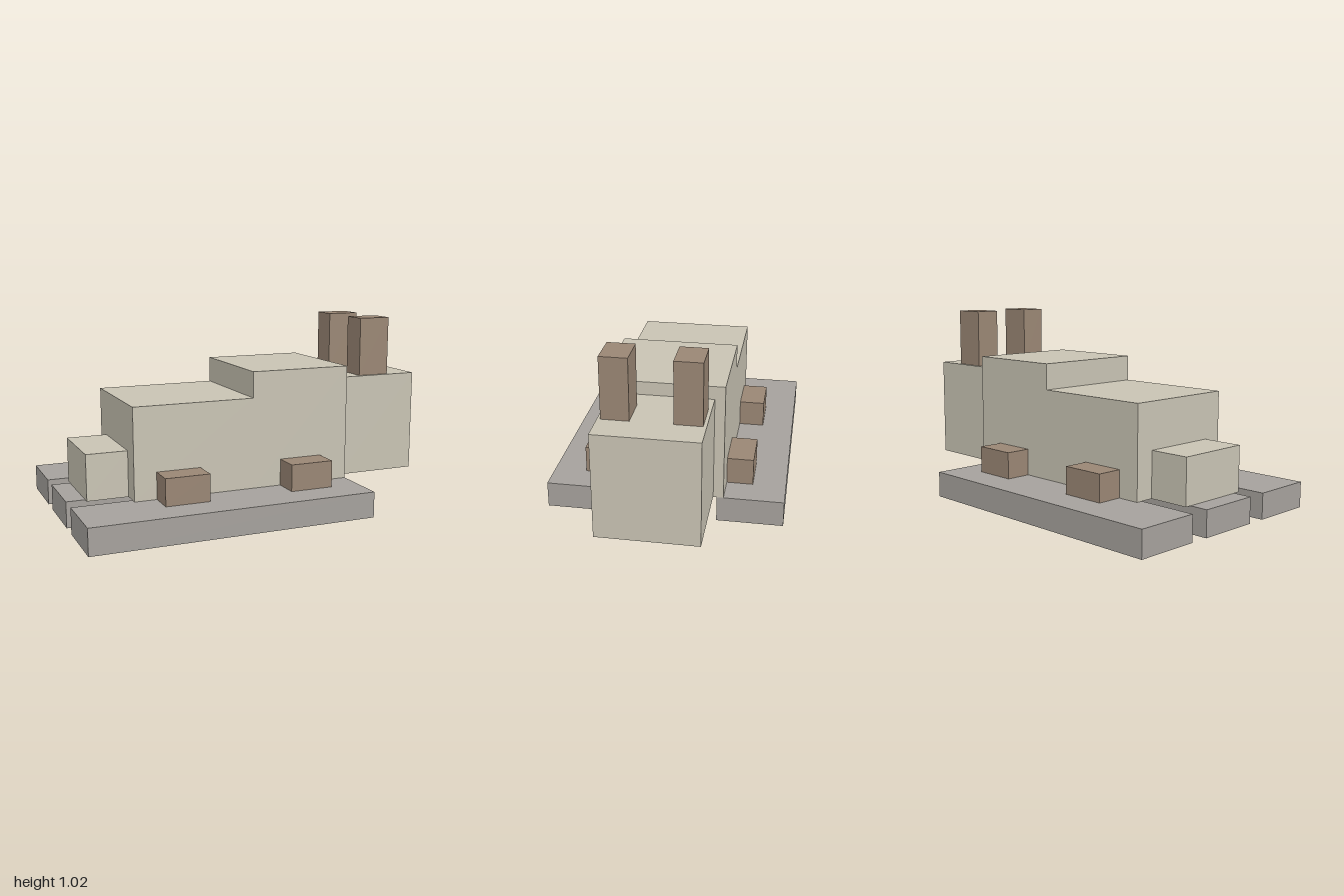
import * as THREE from 'three';

const makeMaterial = (name, color) => {
  const material = new THREE.MeshStandardMaterial({ color });
  material.name = name;
  return material;
};

export function createModel() {
  const model = new THREE.Group();
  model.name = 'blockAnimalOnSlats';

  const fur = makeMaterial('paleFur', 0xc8c3b3);
  const stone = makeMaterial('greySlat', 0xa5a19c);
  const brown = makeMaterial('brown', 0x998674);

  // Box given by its extents along each axis
  const addBox = (name, material, [x0, x1], [y0, y1], [z0, z1]) => {
    const mesh = new THREE.Mesh(new THREE.BoxGeometry(x1 - x0, y1 - y0, z1 - z0), material);
    mesh.position.set((x0 + x1) / 2, (y0 + y1) / 2, (z0 + z1) / 2);
    mesh.name = name;
    model.add(mesh);
  };

  // Base: three parallel slats
  addBox('middleSlat', stone, [-1, 0.54], [0, 0.14], [-0.175, 0.175]);

  // Body, head and tail, facing +x
  addBox('hindBody', fur, [-0.68, -0.02], [0.14, 0.63], [-0.315, 0.315]);
  addBox('chest', fur, [-0.02, 0.54], [0.14, 0.77], [-0.315, 0.315]);
  addBox('head', fur, [0.54, 1], [0.145, 0.7], [-0.262, 0.262]);
  addBox('tail', fur, [-0.9, -0.68], [0.14, 0.385], [-0.21, 0.21]);

  // Mirrored parts on both sides
  for (const [label, side] of [['front', 1], ['back', -1]]) {
    const span = (near, far) => (side > 0 ? [near, far] : [-far, -near]);
    addBox(`${label}Slat`, stone, [-1, 0.54], [0, 0.14], span(0.28, 0.63));
    addBox(`${label}Ear`, brown, [0.66, 0.84], [0.7, 1.02], span(0.105, 0.245));
    addBox(`${label}HindFoot`, brown, [-0.56, -0.32], [0.14, 0.285], span(0.315, 0.455));
    addBox(`${label}ForeFoot`, brown, [0.14, 0.38], [0.14, 0.285], span(0.315, 0.455));
  }

  return model;
}
